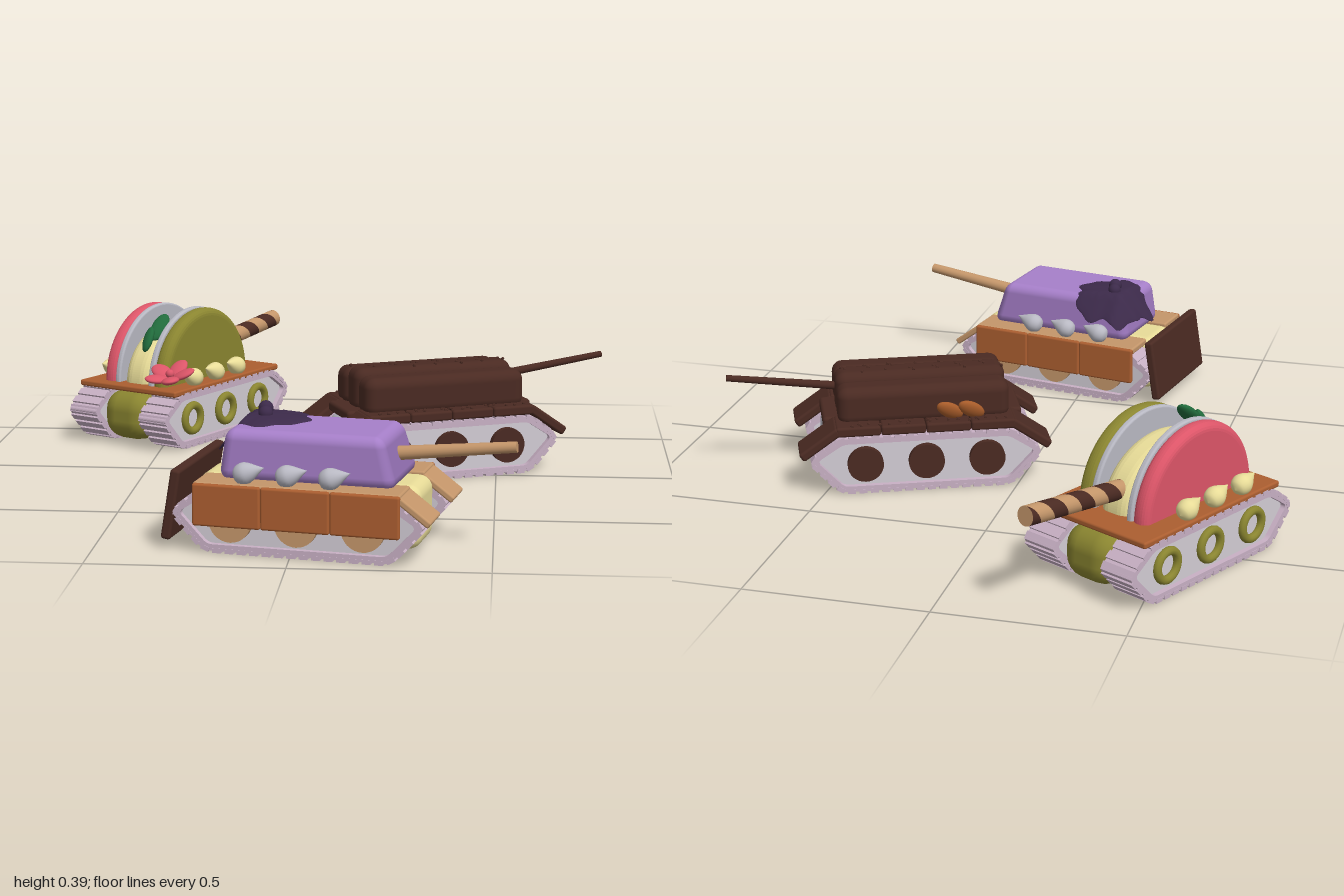
import * as THREE from 'three';
import { RoundedBoxGeometry } from 'three/addons/geometries/RoundedBoxGeometry.js';
import { ParametricGeometry } from 'three/addons/geometries/ParametricGeometry.js';

const mat = (color, side = THREE.FrontSide) => new THREE.MeshStandardMaterial({ color, side });
const M = {
  track: mat(0xc8b0c4), inner: mat(0xd2ccd4), olive: mat(0x8a8530), pink: mat(0xdc5568),
  cream: mat(0xe8dc98), caramel: mat(0xab5e30), choc: mat(0x4a2a22), grey: mat(0xb8b8c2),
  purple: mat(0xa67fc9), jam: mat(0x3c2a4a), tan: mat(0xc4966a), leaf: mat(0x216b3c),
  almond: mat(0xa85c2a), biscuitTwist: mat(0xc4966a, THREE.DoubleSide), chocTwist: mat(0x4a2a22, THREE.DoubleSide),
};

function add(parent, name, geo, material, x = 0, y = 0, z = 0) {
  const m = new THREE.Mesh(geo, material);
  m.name = name;
  m.position.set(x, y, z);
  parent.add(m);
  return m;
}
const rbox = (w, h, d, r = 0.01) => new RoundedBoxGeometry(w, h, d, 3, r);

// Slab whose centre line runs between two (x, y) points
function slab(parent, name, [x0, y0], [x1, y1], thick, width, z, material) {
  const m = add(parent, name, rbox(Math.hypot(x1 - x0, y1 - y0), thick, width, thick * 0.3), material, (x0 + x1) / 2, (y0 + y1) / 2, z);
  m.rotation.z = Math.atan2(y1 - y0, x1 - x0);
  return m;
}

// Six-sided track outline, inset by t, with softened corners
function trackShape(t, Type = THREE.Shape) {
  const k = 0.325 - t * 1.3, w = 0.24 - t * 0.6, top = 0.164 - t, bot = 0.006 + t;
  const p = [[-w, bot], [w, bot], [k, 0.1], [w, top], [-w, top], [-k, 0.1]].map(a => new THREE.Vector2(...a));
  const s = new Type();
  p.forEach((c, i) => {
    const a = c.clone().lerp(p[(i + 5) % 6], 0.015 / c.distanceTo(p[(i + 5) % 6]));
    const b = c.clone().lerp(p[(i + 1) % 6], 0.015 / c.distanceTo(p[(i + 1) % 6]));
    i ? s.lineTo(a.x, a.y) : s.moveTo(a.x, a.y);
    s.quadraticCurveTo(c.x, c.y, b.x, b.y);
  });
  s.closePath();
  return s;
}

// Tread band, recessed side plate, cleats and three wheels on each side
function tracks(tank, wheelGeo, wheelMat) {
  for (const side of [-1, 1]) {
    const g = new THREE.Group();
    g.name = side < 0 ? 'leftTrack' : 'rightTrack';
    g.position.z = side * 0.13;
    tank.add(g);
    const band = trackShape(0);
    const pts = band.getSpacedPoints(44);
    band.holes.push(trackShape(0.016, THREE.Path));
    add(g, 'treadBand', new THREE.ExtrudeGeometry(band, { depth: 0.1, bevelEnabled: false }), M.track, 0, 0, -0.05);
    add(g, 'sidePlate', new THREE.ExtrudeGeometry(trackShape(0.015), { depth: 0.07, bevelEnabled: false }), M.inner, 0, 0, -0.035);
    const cleat = new THREE.BoxGeometry(0.022, 0.012, 0.102);
    for (let i = 0; i < 44; i++) {
      const a = pts[i], b = pts[i + 1];
      add(g, 'cleat', cleat, M.track, (a.x + b.x) / 2, (a.y + b.y) / 2, 0).rotation.z = Math.atan2(b.y - a.y, b.x - a.x);
    }
    for (const x of [-0.17, 0, 0.17]) add(g, 'wheel', wheelGeo, wheelMat, x, 0.085, side * 0.04);
  }
}

const disc = r => new THREE.CylinderGeometry(r, r, 0.025, 32).rotateX(Math.PI / 2);

// Row of piped drops along both sides; dir is the way the tips lean
function dollops(tank, material, y, z, dir) {
  const profile = [[0, -0.028], [0.02, -0.02], [0.028, 0], [0.023, 0.018], [0.011, 0.038], [0, 0.056]];
  const geo = new THREE.LatheGeometry(new THREE.SplineCurve(profile.map(p => new THREE.Vector2(...p))).getPoints(18), 24);
  for (const side of [-1, 1]) for (const x of [-0.14, -0.03, 0.08])
    add(tank, 'creamDrop', geo, material, x, y, side * z).rotation.z = -dir * 1.25;
}

function barrel(tank, r0, r1, [x0, y0], [x1, y1], material) {
  const m = add(tank, 'barrel', new THREE.CylinderGeometry(r1, r0, Math.hypot(x1 - x0, y1 - y0), 20), material, (x0 + x1) / 2, (y0 + y1) / 2);
  m.rotation.z = Math.atan2(y1 - y0, x1 - x0) - Math.PI / 2;
}

function ellipsoid(parent, name, material, size, pos, rot = [0, 0, 0]) {
  const m = add(parent, name, new THREE.SphereGeometry(1, 24, 16), material, ...pos);
  m.scale.set(...size);
  m.rotation.set(...rot);
}

function newTank(root, name, x, z, yaw) {
  const g = new THREE.Group();
  g.name = name;
  g.position.set(x, 0, z);
  g.rotation.y = yaw;
  root.add(g);
  return g;
}

// Upright half disc with rounded rim, centred on its thickness
function halfDisc(r, thick, bevel) {
  const s = new THREE.Shape();
  s.absarc(0, 0, r - bevel, 0, Math.PI);
  s.closePath();
  return new THREE.ExtrudeGeometry(s, { depth: thick - 2 * bevel, bevelSize: bevel, bevelThickness: bevel, bevelSegments: 5, curveSegments: 40 })
    .translate(0, 0, bevel - thick / 2);
}

function macaronTank(root) {
  const t = newTank(root, 'macaronTank', -0.48, -0.53, 1.075);
  tracks(t, new THREE.TorusGeometry(0.039, 0.012, 10, 24), M.olive);
  add(t, 'hull', rbox(0.6, 0.148, 0.17, 0.06), M.olive, 0, 0.09);
  add(t, 'deck', rbox(0.54, 0.018, 0.36, 0.006), M.caramel, 0, 0.172);
  // Macaron halves standing on edge around a cream filling
  for (const [side, m] of [[-1, M.pink], [1, M.olive]]) {
    add(t, 'macaronShell', halfDisc(0.215, 0.05, 0.022), m, -0.02, 0.176, side * 0.092);
    add(t, 'macaronRim', halfDisc(0.216, 0.018, 0.006), M.grey, -0.02, 0.176, side * 0.062);
  }
  add(t, 'creamFilling', halfDisc(0.208, 0.1, 0.035), M.cream, -0.02, 0.176).scale.y = 0.8;
  dollops(t, M.cream, 0.203, 0.155, -1);
  // Two-coloured twisted wafer barrel
  const len = 0.5, r = 0.026;
  const wafer = new THREE.Group();
  wafer.name = 'waferBarrel';
  wafer.position.set(0.01, 0.222, 0);
  wafer.rotation.z = 0.11;
  t.add(wafer);
  [M.biscuitTwist, M.chocTwist].forEach((m, i) => add(wafer, 'waferStripe', new ParametricGeometry((u, v, p) => {
    const a = Math.PI * (u + i) + v * Math.PI * 10;
    p.set(v * len, r * Math.cos(a), r * Math.sin(a));
  }, 12, 120), m));
  add(wafer, 'waferEnd', new THREE.CircleGeometry(r, 24).rotateY(Math.PI / 2), M.tan, len);
  // Flower and leaves
  const flower = new THREE.Group();
  flower.name = 'flower';
  flower.position.set(-0.25, 0.22, 0.15);
  flower.rotation.z = 0.3;
  t.add(flower);
  for (let i = 0; i < 5; i++) {
    const a = i * Math.PI * 0.4;
    ellipsoid(flower, 'petal', M.pink, [0.037, 0.011, 0.027], [0.042 * Math.cos(a), 0.008, -0.042 * Math.sin(a)], [0, a, 0.3]);
  }
  ellipsoid(flower, 'flowerCentre', M.pink, [0.013, 0.013, 0.013], [0, 0.012, 0]);
  ellipsoid(t, 'leaf', M.leaf, [0.05, 0.013, 0.024], [-0.15, 0.345, 0.035], [0.3, 0.3, 0.7]);
  ellipsoid(t, 'leaf', M.leaf, [0.042, 0.012, 0.022], [-0.2, 0.315, 0.03], [-0.4, -0.3, 0.9]);
}

function chocolateTank(root) {
  const t = newTank(root, 'chocolateTank', 0.305, -0.11, 0.41);
  tracks(t, disc(0.05), M.choc);
  add(t, 'hull', rbox(0.56, 0.15, 0.17, 0.03), M.grey, 0, 0.09);
  // Chocolate bar fenders with drooping ends
  for (const z of [-0.13, 0.13]) {
    for (let i = 0; i < 4; i++) add(t, 'fenderPiece', rbox(0.124, 0.028, 0.104, 0.007), M.choc, (i - 1.5) * 0.125, 0.183, z);
    for (const s of [-1, 1]) slab(t, 'fenderEnd', [s * 0.24, 0.187], [s * 0.347, 0.112], 0.026, 0.104, z, M.choc);
  }
  add(t, 'deck', rbox(0.56, 0.03, 0.17), M.choc, 0, 0.178);
  // Turret made of three rolls
  for (const z of [-0.09, 0, 0.09]) add(t, 'turretRoll', rbox(0.48, z ? 0.11 : 0.125, 0.092, 0.03), M.choc, 0, z ? 0.235 : 0.24, z);
  barrel(t, 0.012, 0.009, [0.2, 0.252], [0.54, 0.295], M.choc);
  for (const x of [-0.13, -0.07]) ellipsoid(t, 'almond', M.almond, [0.042, 0.024, 0.014], [x, 0.22, -0.145], [-0.4, 0, 0.6]);
  // Chocolate crumbs along the fenders and turret
  const crumb = new THREE.IcosahedronGeometry(0.005);
  for (let i = 0; i < 60; i++) {
    const x = ((i * 0.618) % 1 - 0.5) * 0.46, side = i % 2 ? 1 : -1;
    i % 3 ? add(t, 'crumb', crumb, M.choc, x, 0.199, side * (0.15 + (i * 0.37 % 1) * 0.025))
      : add(t, 'crumb', crumb, M.choc, x, 0.303, ((i * 0.37) % 1 - 0.5) * 0.06);
  }
}

function berryTank(root) {
  const t = newTank(root, 'berryTank', 0.05, 0.74, -0.19);
  tracks(t, disc(0.055), M.tan);
  add(t, 'hull', rbox(0.58, 0.165, 0.17, 0.035), M.cream, 0, 0.095);
  for (const z of [-0.13, 0.13]) {
    add(t, 'fender', rbox(0.53, 0.02, 0.11, 0.006), M.tan, 0, 0.17, z);
    slab(t, 'fenderFlap', [0.25, 0.174], [0.338, 0.108], 0.018, 0.108, z, M.tan);
    for (const x of [-0.177, 0, 0.177]) add(t, 'sideSkirt', rbox(0.176, 0.108, 0.016, 0.006), M.caramel, x, 0.124, Math.sign(z) * 0.186);
  }
  slab(t, 'rearBoard', [-0.342, 0.025], [-0.312, 0.205], 0.026, 0.36, 0, M.choc);
  // Sloped soft turret
  const geo = rbox(0.46, 0.13, 0.26, 0.028), p = geo.attributes.position;
  for (let i = 0; i < p.count; i++) {
    const k = (p.getY(i) + 0.065) / 0.13, x = p.getX(i);
    p.setX(i, x * (1 - k * (x > 0 ? 0.17 : 0.07)));
    p.setZ(i, p.getZ(i) * (1 - 0.1 * k));
  }
  add(t, 'turret', geo, M.purple, 0.01, 0.238);
  barrel(t, 0.019, 0.014, [0.15, 0.235], [0.515, 0.276], M.tan);
  dollops(t, M.grey, 0.203, 0.158, 1);
  // Jam splash that droops over the turret edges
  const jam = new THREE.SphereGeometry(1, 64, 24), q = jam.attributes.position;
  for (let i = 0; i < q.count; i++) {
    const a = Math.atan2(q.getZ(i), q.getX(i));
    const r = 0.112 + 0.008 * Math.sin(5 * a) + 0.006 * Math.sin(9 * a + 1);
    let x = q.getX(i) * r - 0.14, z = q.getZ(i) * r - 0.05;
    const ex = Math.max(0, -0.185 - x), ez = Math.max(0, -0.1 - z);
    q.setXYZ(i, x, 0.302 + q.getY(i) * 0.013 - ex * 1.1 - ez * 1.1, z);
  }
  jam.computeVertexNormals();
  add(t, 'jamSplash', jam, M.jam);
  for (const [x, y, z] of [[-0.15, 0.322, -0.065], [-0.14, 0.322, -0.03], [-0.145, 0.332, -0.048]])
    ellipsoid(t, 'berry', M.jam, [0.019, 0.019, 0.019], [x, y - 0.005, z]);
}

export function createModel() {
  const root = new THREE.Group();
  root.name = 'dessertTanks';
  macaronTank(root);
  chocolateTank(root);
  berryTank(root);
  return root;
}
